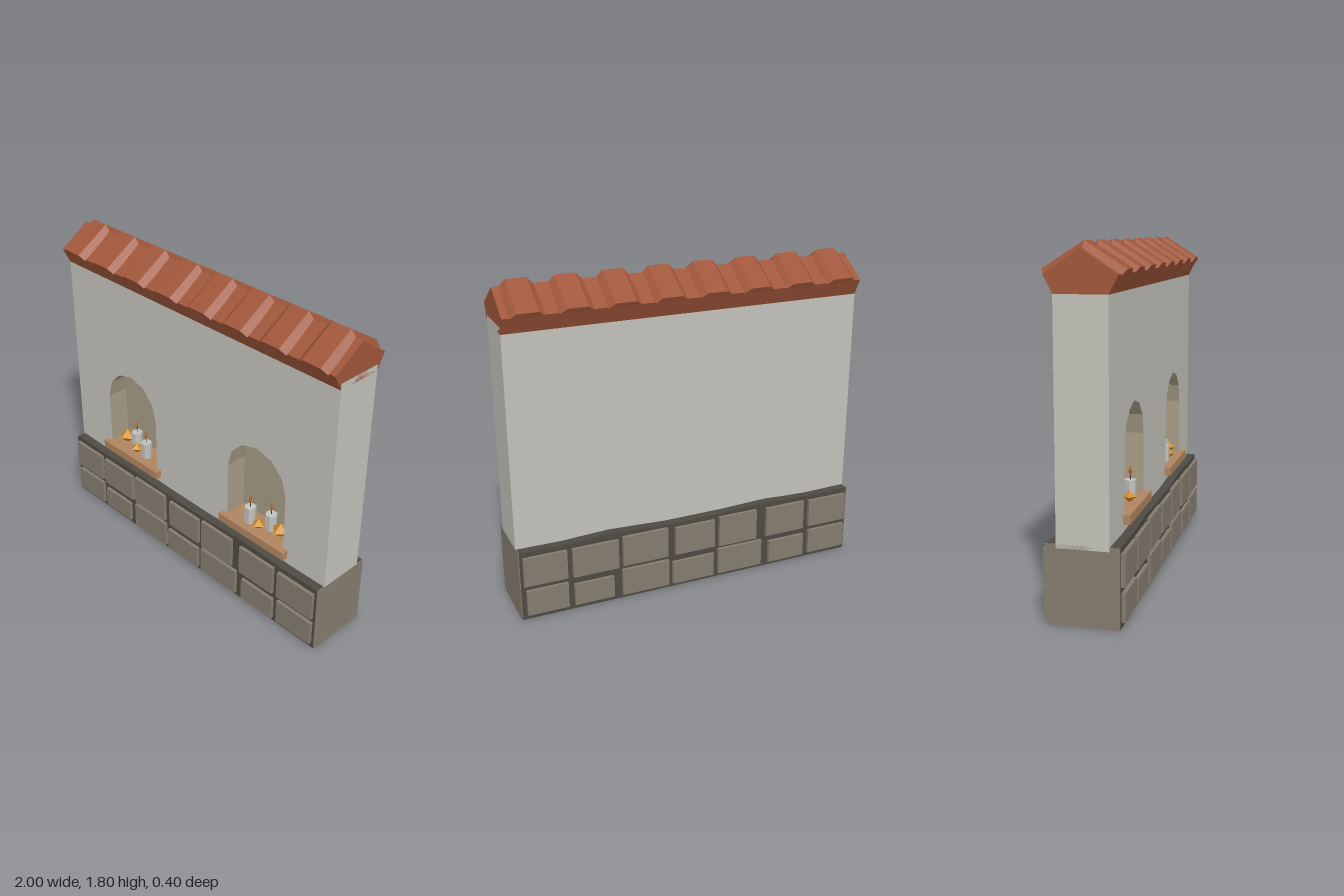
import * as THREE from 'three';

const mat = (name, color) => {
  const m = new THREE.MeshStandardMaterial({ color });
  m.name = name;
  m.flatShading = true;
  return m;
};

export function createModel() {
  const root = new THREE.Group();
  root.name = 'shrineWall';
  const plaster = mat('plaster', 0xc2c1b9);
  const nicheTan = mat('nicheTan', 0xa59b84);
  const stone = mat('stone', 0x847b6d);
  const mortar = mat('mortar', 0x4e4a43);
  const tile = mat('roofTile', 0x9f563a);
  const wood = mat('wood', 0xaf845f);
  const wax = mat('wax', 0xbfbfbd);
  const gold = mat('gold', 0xd08c1e);
  const fire = mat('flame', 0xb5651d);
  const char = mat('wick', 0x3a3128);

  const add = (parent, name, geo, material, x = 0, y = 0, z = 0) => {
    const m = new THREE.Mesh(geo, material);
    m.name = name;
    m.position.set(x, y, z);
    parent.add(m);
    return m;
  };
  // Box given by its limits on each axis
  const box = (parent, name, material, x0, x1, y0, y1, z0, z1) =>
    add(parent, name, new THREE.BoxGeometry(x1 - x0, y1 - y0, z1 - z0), material,
      (x0 + x1) / 2, (y0 + y1) / 2, (z0 + z1) / 2);
  const poly = pts => new THREE.Shape(pts.map(p => new THREE.Vector2(...p)));
  const extrude = (shape, depth) => new THREE.ExtrudeGeometry(shape, { depth, bevelEnabled: false });

  // Plaster wall: solid back half, front half with two arched niches
  box(root, 'wallBack', plaster, -1, 1, 0.38, 1.6, -0.13, 0);
  const archPoints = cx => {
    const pts = [[cx - 0.208, 0.45], [cx + 0.208, 0.45]];
    for (let i = 0; i <= 6; i++) {
      const a = (i / 6) * Math.PI;
      pts.push([cx + 0.208 * Math.cos(a), 0.8 + 0.208 * Math.sin(a)]);
    }
    return pts;
  };
  const front = poly([[-0.995, 0.38], [0.995, 0.38], [0.995, 1.6], [-0.995, 1.6]]);
  for (const s of [-1, 1]) front.holes.push(poly(archPoints(s * 0.5)));
  add(root, 'wallFront', extrude(front, 0.13), [plaster, nicheTan]);
  for (const s of [-1, 1]) {
    box(root, 'wallEnd', plaster, s * 0.9975 - 0.0025, s * 0.9975 + 0.0025, 0.38, 1.6, 0, 0.13);
    add(root, 'nicheBack', new THREE.ShapeGeometry(poly(archPoints(s * 0.5))), nicheTan, 0, 0, 0.003);
  }

  // Mortar plinth with a gently uneven top and stone end faces
  const plinth = poly([[-0.995, 0], [0.995, 0], [0.995, 0.4], [0.75, 0.398], [0.6, 0.405], [0.48, 0.41],
    [0.35, 0.404], [0.15, 0.395], [-0.2, 0.397], [-0.35, 0.403], [-0.48, 0.407], [-0.6, 0.4],
    [-0.75, 0.395], [-0.995, 0.4]]);
  add(root, 'plinth', extrude(plinth, 0.36), mortar, 0, 0, -0.18);
  for (const s of [-1, 1])
    box(root, 'plinthEnd', stone, s * 0.9975 - 0.0025, s * 0.9975 + 0.0025, 0, 0.4, -0.18, 0.18);

  // Raised stone blocks: [x0, x1, y0, y1], repeated on the back
  const blocks = [
    [-0.97, -0.74, 0.03, 0.175], [-0.705, -0.48, 0.03, 0.155], [-0.43, -0.155, 0.025, 0.18],
    [-0.13, 0.12, 0.025, 0.16], [0.15, 0.425, 0.025, 0.18], [0.475, 0.705, 0.025, 0.16],
    [0.74, 0.98, 0.03, 0.175],
    [-0.98, -0.74, 0.205, 0.37], [-0.71, -0.45, 0.2, 0.37], [-0.425, -0.16, 0.205, 0.38],
    [-0.115, 0.125, 0.205, 0.37], [0.155, 0.39, 0.2, 0.38], [0.455, 0.7, 0.2, 0.375],
    [0.735, 0.98, 0.205, 0.37],
  ];
  for (const side of [0, 1]) {
    const face = new THREE.Group();
    face.name = side ? 'backStones' : 'frontStones';
    face.rotation.y = side * Math.PI;
    for (const [x0, x1, y0, y1] of blocks) box(face, 'stoneBlock', stone, x0, x1, y0, y1, 0.17, 0.2);
    root.add(face);
  }

  // Roof core, extruded along x
  const core = extrude(poly([[-0.13, 1.565], [0.13, 1.565], [0.175, 1.653], [0, 1.77], [-0.175, 1.653]]), 2);
  core.rotateY(Math.PI / 2);
  add(root, 'roofCore', core, tile, -1);

  // Raised tile ridges: trapezoid section swept eave, apex, eave
  const sections = [[0.185, 1.65, 0.2, 1.676], [0, 1.765, 0, 1.802], [-0.185, 1.65, -0.2, 1.676]];
  const pos = [], idx = [];
  for (const [zi, yi, zo, yo] of sections)
    pos.push(-0.09, yi, zi, -0.055, yo, zo, 0.055, yo, zo, 0.09, yi, zi);
  for (let s = 0; s < 2; s++)
    for (let k = 0; k < 4; k++) {
      const a = s * 4 + k, b = s * 4 + (k + 1) % 4;
      idx.push(a, b, b + 4, a, b + 4, a + 4);
    }
  idx.push(0, 3, 2, 0, 2, 1, 8, 9, 10, 8, 10, 11);
  // Reverse the sweep so that faces point outwards
  for (let i = 0; i < 48; i += 3) [idx[i + 1], idx[i + 2]] = [idx[i + 2], idx[i + 1]];
  const indexed = new THREE.BufferGeometry();
  indexed.setAttribute('position', new THREE.Float32BufferAttribute(pos, 3));
  indexed.setIndex(idx);
  const ridge = indexed.toNonIndexed();
  ridge.computeVertexNormals();
  tile.side = THREE.DoubleSide;
  for (let i = 0; i < 8; i++) add(root, 'tileRidge', ridge, tile, -0.875 + i * 0.25);

  // Niche shelves with candles and gold pieces, mirrored left and right
  const candle = new THREE.CylinderGeometry(0.034, 0.034, 0.1, 6);
  candle.rotateY(Math.PI / 6);
  const flame = new THREE.OctahedronGeometry(1);
  flame.scale(0.011, 0.028, 0.011);
  const nugget = new THREE.OctahedronGeometry(1);
  for (const s of [-1, 1]) {
    const shelf = new THREE.Group();
    shelf.name = s > 0 ? 'leftOffering' : 'rightOffering';
    root.add(shelf);
    box(shelf, 'shelf', wood, s * 0.5 - 0.24, s * 0.5 + 0.24, 0.435, 0.483, 0.001, 0.166);
    for (const [x, z] of [[0.43, 0.092], [0.553, 0.058]]) {
      add(shelf, 'candle', candle, wax, s * x, 0.532, z);
      add(shelf, 'wick', new THREE.CylinderGeometry(0.003, 0.003, 0.03, 4), char, s * x, 0.595, z);
      add(shelf, 'flame', flame, fire, s * x, 0.627, z);
    }
    for (const [x, y, z, r] of [[0.632, 0.523, 0.068, 0.052], [0.505, 0.513, 0.105, 0.037]])
      add(shelf, 'goldPiece', nugget, gold, s * x, y, z).scale.set(r, r * 0.85, r);
  }
  return root;
}
